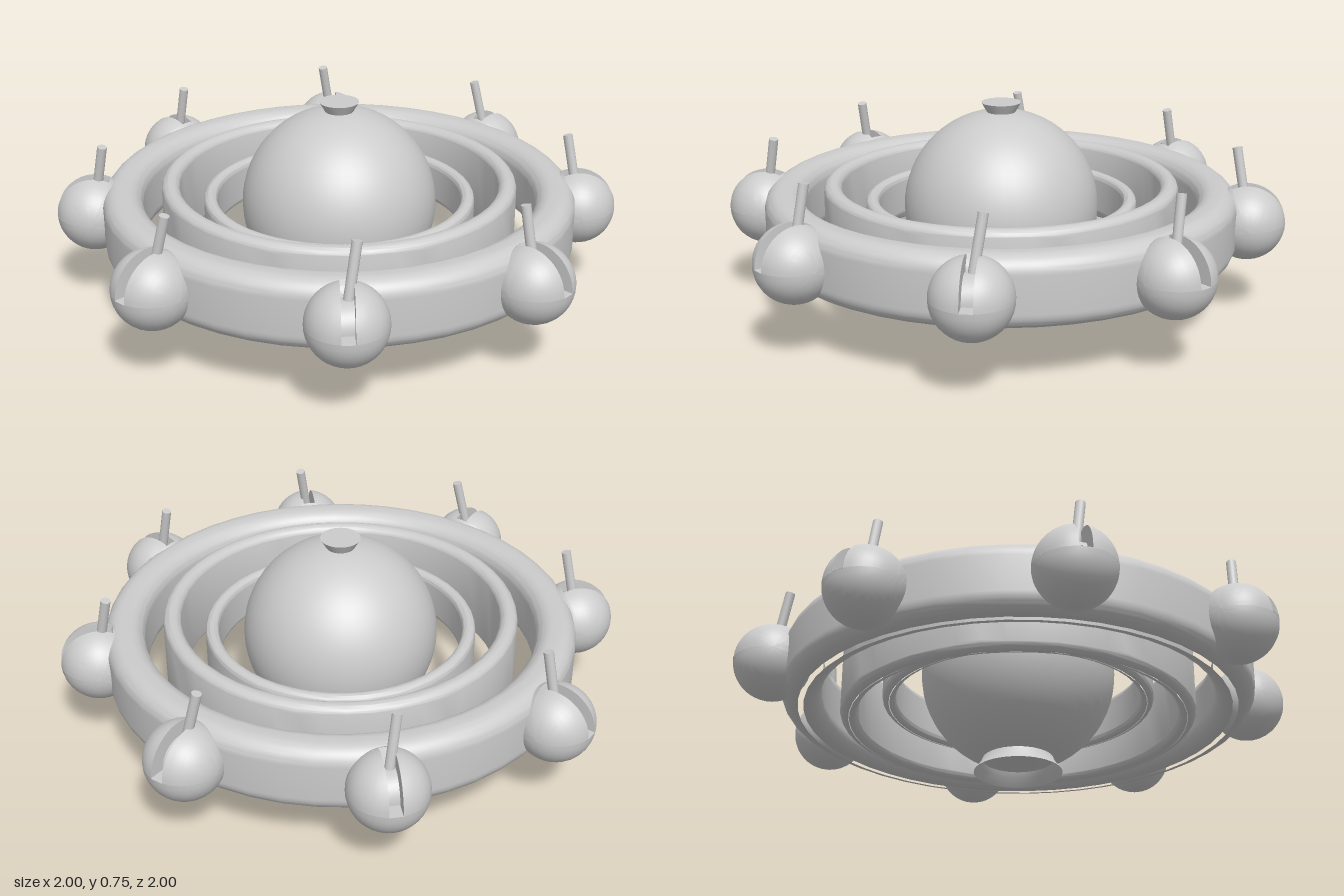
import * as THREE from 'three';
import { toCreasedNormals } from 'three/addons/utils/BufferGeometryUtils.js';

const material = new THREE.MeshStandardMaterial({ color: 0xcccccc });
const openMaterial = new THREE.MeshStandardMaterial({ color: 0xcccccc, side: THREE.DoubleSide });

function addMesh(parent, name, geometry, mat = material) {
  const mesh = new THREE.Mesh(geometry, mat);
  mesh.name = name;
  parent.add(mesh);
  return mesh;
}

// Hoop with a rounded rectangular section
function hoop(inner, outer, bottom, top, r) {
  const s = new THREE.Shape();
  s.moveTo(inner + r, bottom);
  s.absarc(outer - r, bottom + r, r, -Math.PI / 2, 0);
  s.absarc(outer - r, top - r, r, 0, Math.PI / 2);
  s.absarc(inner + r, top - r, r, Math.PI / 2, Math.PI);
  s.absarc(inner + r, bottom + r, r, Math.PI, Math.PI * 1.5);
  return toCreasedNormals(new THREE.LatheGeometry(s.getPoints(6), 48), 0.6);
}

const BALL = 0.135, SLOT_HALF = 0.022, SLOT_FLOOR = 0.08, SLOT_END = 2.0;

// Section of a ball turned about a sideways axis, with or without the slot
function ballSection(slotted, start, length, segments) {
  const a0 = Math.asin(SLOT_HALF / BALL);
  const arc = (from, to, n) => Array.from({ length: n + 1 }, (_, i) => {
    const a = from + (to - from) * i / n;
    return new THREE.Vector2(Math.max(0, BALL * Math.cos(a)), BALL * Math.sin(a));
  });
  const points = slotted
    ? [...arc(-Math.PI / 2, -a0, 9),
      new THREE.Vector2(SLOT_FLOOR, -SLOT_HALF), new THREE.Vector2(SLOT_FLOOR, SLOT_HALF),
      ...arc(a0, Math.PI / 2, 9)]
    : arc(-Math.PI / 2, Math.PI / 2, 20);
  const g = new THREE.LatheGeometry(points, segments, start, length);
  return toCreasedNormals(g.rotateZ(Math.PI / 2), 0.7);
}

// Ball with a slot over its outer top; +z points away from the ring
function makeBall() {
  const ball = new THREE.Group();
  ball.name = 'slottedBall';
  addMesh(ball, 'ballBody', ballSection(false, SLOT_END, Math.PI * 2 - SLOT_END, 26));
  addMesh(ball, 'ballSlot', ballSection(true, 0, SLOT_END, 14));
  for (const angle of [0, SLOT_END]) {
    const end = new THREE.PlaneGeometry(SLOT_HALF * 2, BALL - SLOT_FLOOR);
    end.rotateX(-Math.PI / 2).translate(0, 0, (BALL + SLOT_FLOOR) / 2).rotateX(-angle);
    addMesh(ball, 'slotEnd', end, openMaterial);
  }
  return ball;
}

// Straight round rod between two points
function addRod(parent, from, to, radius) {
  const dir = to.clone().sub(from);
  const rod = addMesh(parent, 'leverRod', new THREE.CylinderGeometry(radius, radius, dir.length(), 12));
  rod.position.copy(from).addScaledVector(dir, 0.5);
  rod.quaternion.setFromUnitVectors(new THREE.Vector3(0, 1, 0), dir.normalize());
}

export function createModel() {
  const model = new THREE.Group();
  model.name = 'ringedSphere';

  // Central sphere with flared foot and cap
  const core = new THREE.Group();
  core.name = 'core';
  core.position.x = 0.008;
  model.add(core);
  addMesh(core, 'centralSphere', new THREE.SphereGeometry(0.345, 48, 32)).position.y = 0.37;
  addMesh(core, 'flaredFoot', new THREE.LatheGeometry([
    new THREE.Vector2(0.155, 0), new THREE.Vector2(0.132, 0.03), new THREE.Vector2(0.122, 0.055),
  ], 40), openMaterial);
  addMesh(core, 'topCap', new THREE.CylinderGeometry(0.07, 0.047, 0.04, 32)).position.y = 0.725;

  // Three nested hoops
  addMesh(core, 'outerRing', hoop(0.695, 0.835, 0.21, 0.455, 0.06));
  addMesh(core, 'middleRing', hoop(0.565, 0.628, 0.18, 0.472, 0.03));
  addMesh(core, 'innerRing', hoop(0.435, 0.482, 0.25, 0.41, 0.022));

  // Eight balls around the rim, each with a leaning rod
  for (let i = 0; i < 8; i++) {
    const angle = i * Math.PI / 4;
    const station = new THREE.Group();
    station.name = 'rimStation';
    station.rotation.y = angle;
    model.add(station);
    const ball = makeBall();
    ball.position.set(0, 0.335, 0.865);
    station.add(ball);
    const side = 0.045 * Math.abs(Math.cos(angle));
    const inward = 0.025 + 0.02 * Math.abs(Math.sin(angle));
    addRod(station, new THREE.Vector3(0, 0.38, 0.862), new THREE.Vector3(side, 0.595, 0.862 - inward), 0.017);
  }
  return model;
}
